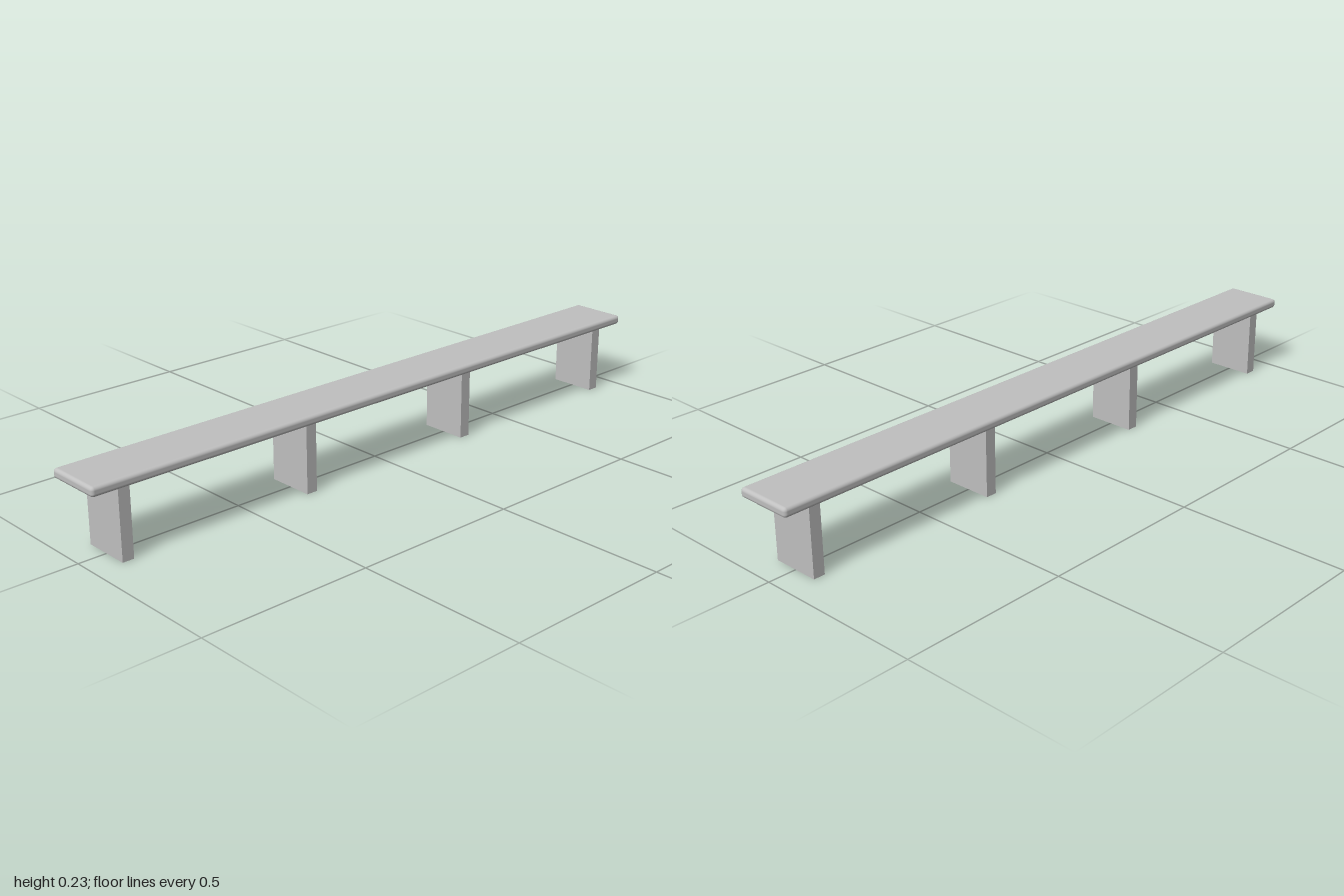
import * as THREE from 'three';
import { RoundedBoxGeometry } from 'three/addons/geometries/RoundedBoxGeometry.js';

export function createModel() {
  const bench = new THREE.Group();
  bench.name = 'bench';
  const stone = new THREE.MeshStandardMaterial({ color: 0xc0c0c0 });
  stone.name = 'grey stone';

  const bottom = 0.202, top = 0.23;

  // Long seat slab with softened edges
  const seat = new THREE.Mesh(new RoundedBoxGeometry(2, top - bottom, 0.172, 3, 0.01), stone);
  seat.name = 'seat';
  seat.position.y = (top + bottom) / 2;
  bench.add(seat);

  // Four evenly spaced slab legs
  const legGeometry = new THREE.BoxGeometry(0.034, bottom, 0.142);
  [-0.9, -0.3, 0.3, 0.9].forEach((x, i) => {
    const leg = new THREE.Mesh(legGeometry, stone);
    leg.name = `leg${i + 1}`;
    leg.position.set(x, bottom / 2, 0);
    bench.add(leg);
  });

  return bench;
}
